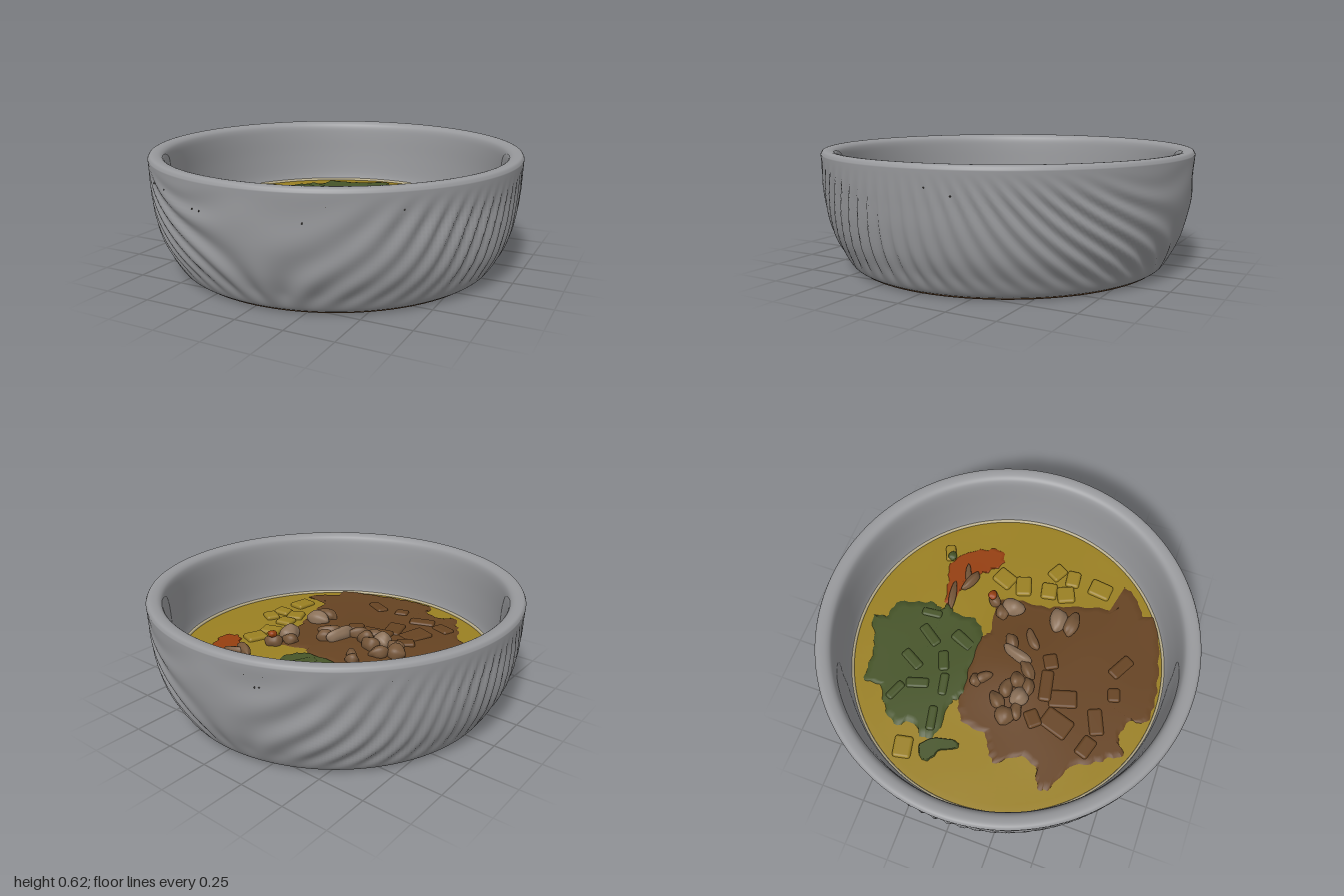
import * as THREE from 'three';
import { mergeVertices } from 'three/addons/utils/BufferGeometryUtils.js';
import { RoundedBoxGeometry } from 'three/addons/geometries/RoundedBoxGeometry.js';

const mat = (name, color) => Object.assign(new THREE.MeshStandardMaterial({ color }), { name });
const M = {
  glaze: mat('grey glaze', 0x98999c),
  cream: mat('cream broth line', 0xb9ae8c),
  yellow: mat('yellow soup', 0x9a8022),
  brown: mat('brown stew', 0x664322),
  green: mat('green herbs', 0x465428),
  orange: mat('orange sauce', 0x963f10),
  chunk: mat('meat', 0x745538),
  pale: mat('pale meat', 0x8a7058),
  base: mat('dark base', 0x523720),
  speck: mat('dark speckle', 0x4a4642),
};

// Height of the food surface, gently mounded under the stew
const foodY = (x, z) => 0.235 + 0.035 * Math.exp(-((x + 0.05) ** 2 + (z - 0.1) ** 2) / 0.12)
  + 0.004 * Math.sin(9 * x + 2) * Math.cos(8 * z) * Math.max(0, 1 - x * x - z * z);

function rng(seed) {
  return () => (seed = (seed * 16807) % 2147483647) / 2147483647;
}

function add(group, name, geometry, material) {
  const mesh = new THREE.Mesh(geometry, material);
  mesh.name = name;
  group.add(mesh);
  return mesh;
}

// Turned wall with diagonal carved flutes on the outside
function bowlGeometry() {
  const outer = new THREE.SplineCurve([[0.81, 0.004], [0.855, 0.022], [0.9, 0.1], [0.945, 0.2],
    [0.973, 0.32], [0.987, 0.45], [0.994, 0.56], [0.996, 0.6]].map(p => new THREE.Vector2(...p))).getPoints(48);
  const inner = new THREE.SplineCurve([[0.996, 0.6], [0.985, 0.618], [0.96, 0.622], [0.93, 0.614], [0.912, 0.59],
    [0.904, 0.53], [0.897, 0.4], [0.885, 0.27], [0.865, 0.21]].map(p => new THREE.Vector2(...p))).getPoints(40);
  let g = new THREE.LatheGeometry([...outer, ...inner.slice(1)], 360);
  const pos = g.attributes.position;
  const rows = outer.length + inner.length - 1;
  for (let i = 0; i < pos.count; i++) {
    if (i % rows >= outer.length) continue;
    const x = pos.getX(i), y = pos.getY(i), z = pos.getZ(i), a = Math.atan2(x, z);
    const slant = 0.3 - 1.2 * Math.cos(2 * (a - 0.82));
    const fade = THREE.MathUtils.smoothstep(y, 0.02, 0.12) * (1 - THREE.MathUtils.smoothstep(y, 0.42, 0.59));
    const depth = 0.011 * (0.75 + 0.25 * Math.sin(5 * a + 6 * y));
    const k = 1 + fade * depth * (Math.sin(48 * a + 46 * y * slant + 1.5 * Math.sin(4 * a + 7 * y)) - 0.3);
    pos.setXYZ(i, x * k, y, z * k);
  }
  g.deleteAttribute('uv');
  g.deleteAttribute('normal');
  g = mergeVertices(g, 1e-5);
  g.computeVertexNormals();
  return g;
}

// Thin layer draped on the food surface, fanned in rings from a centre to its outline
function patchGeometry([cx, cz], outline, lift, rings = 16) {
  const n = outline.length, verts = [], idx = [];
  for (let r = 0; r <= rings; r++) {
    for (const [px, pz] of outline) {
      const t = r / rings, x = cx + (px - cx) * t, z = cz + (pz - cz) * t;
      verts.push(x, foodY(x, z) + (r === rings ? -0.002 : lift), z);
    }
  }
  for (let r = 0; r < rings; r++) for (let i = 0; i < n; i++) {
    const a = r * n + i, b = r * n + (i + 1) % n;
    idx.push(a, b + n, a + n);
    if (r) idx.push(a, b, b + n);
  }
  const g = new THREE.BufferGeometry();
  g.setAttribute('position', new THREE.Float32BufferAttribute(verts, 3));
  g.setIndex(idx);
  g.computeVertexNormals();
  return g;
}

// Smooth closed outline with a slightly ragged edge
function ragged(points, wobble = 0.006) {
  const curve = new THREE.CatmullRomCurve3(points.map(([x, z]) => new THREE.Vector3(x, 0, z)), true, 'centripetal');
  return curve.getPoints(points.length * 6).slice(0, -1)
    .map((p, i) => [p.x + wobble * Math.sin(i * 1.3), p.z + wobble * Math.cos(i * 1.7)]);
}

// Lumpy pebble of unit radius
function lumpGeometry(seed) {
  let g = new THREE.IcosahedronGeometry(1, 5);
  g.deleteAttribute('uv');
  g.deleteAttribute('normal');
  g = mergeVertices(g);
  const p = g.attributes.position;
  for (let i = 0; i < p.count; i++) {
    const x = p.getX(i), y = p.getY(i), z = p.getZ(i);
    const k = 1 + 0.12 * Math.sin(3 * x + seed) + 0.1 * Math.cos(4 * z + 2 * seed) * Math.sin(3 * y + seed);
    p.setXYZ(i, x * k, y * k, z * k);
  }
  g.computeVertexNormals();
  return g;
}

export function createModel() {
  const model = new THREE.Group();
  model.name = 'bowlOfStew';
  const rand = rng(71);

  // Bowl and its underside
  add(model, 'bowl', bowlGeometry(), M.glaze);
  const base = add(model, 'base', new THREE.CylinderGeometry(0.835, 0.825, 0.012, 96), M.base);
  base.position.y = 0.006;
  const spot = add(model, 'baseSpot', new THREE.CylinderGeometry(0.075, 0.075, 0.003, 7), M.yellow);
  spot.position.set(0.38, 0.0005, -0.63);

  // Soup and the broth line around it
  const circle = Array.from({ length: 96 }, (_, i) => [0.89 * Math.cos(i * Math.PI / 48), 0.89 * Math.sin(i * Math.PI / 48)]);
  add(model, 'soup', patchGeometry([0, 0], circle, 0, 30), M.yellow);
  const line = add(model, 'brothLine', new THREE.TorusGeometry(0.878, 0.011, 8, 120), M.cream);
  line.rotation.x = Math.PI / 2;
  line.position.y = 0.236;

  // Stew, herbs and sauce
  add(model, 'stew', patchGeometry([-0.02, 0.35], ragged([[-0.36, -0.17], [-0.15, -0.19], [0.05, -0.19], [0.1, -0.15],
    [0.3, -0.17], [0.35, -0.05], [0.36, 0.1], [0.4, 0.2], [0.45, 0.35], [0.5, 0.5], [0.64, 0.5], [0.6, 0.58], [0.5, 0.66],
    [0.52, 0.72], [0.35, 0.79], [0.15, 0.84], [0, 0.86], [-0.11, 0.84], [-0.13, 0.76], [-0.25, 0.73], [-0.33, 0.78],
    [-0.36, 0.72], [-0.42, 0.64], [-0.48, 0.53], [-0.64, 0.45], [-0.65, 0.4], [-0.55, 0.35], [-0.52, 0.25], [-0.6, 0.13],
    [-0.55, 0.08], [-0.47, 0.03], [-0.45, -0.1]]), 0.008, 24), M.brown);
  add(model, 'herbs', patchGeometry([-0.2, -0.45], ragged([[-0.36, -0.2], [-0.57, -0.22], [-0.6, -0.28], [-0.54, -0.36],
    [-0.58, -0.45], [-0.5, -0.55], [-0.4, -0.62], [-0.4, -0.71], [-0.25, -0.73], [-0.15, -0.76], [-0.02, -0.82],
    [0, -0.75], [0.1, -0.72], [0.14, -0.62], [0.17, -0.52], [0.15, -0.46], [0.2, -0.43], [0.15, -0.38], [0.15, -0.25],
    [0.08, -0.18], [-0.15, -0.17], [-0.3, -0.15]]), 0.012), M.green);
  add(model, 'sauce', patchGeometry([0.45, -0.4], ragged([[0.32, -0.49], [0.43, -0.52], [0.54, -0.45], [0.6, -0.35],
    [0.62, -0.26], [0.55, -0.22], [0.47, -0.28], [0.42, -0.34], [0.3, -0.4], [0.18, -0.42], [0.18, -0.45]]), 0.007), M.orange);
  add(model, 'leaf', patchGeometry([-0.63, -0.21], ragged([[-0.71, -0.24], [-0.64, -0.28], [-0.57, -0.2], [-0.56, -0.08],
    [-0.59, -0.08], [-0.63, -0.16], [-0.7, -0.2]], 0.003), 0.015), M.green);

  // Diced pieces half sunk in the food: x, z, width, depth, turn
  const dice = (name, material, list) => list.forEach(([x, z, w, d, turn]) => {
    const mesh = add(model, name, new RoundedBoxGeometry(w, 0.04, d, 3, 0.016), material);
    mesh.position.set(x, foodY(x, z) + 0.002, z);
    mesh.rotation.set(0.08 * (rand() - 0.5), turn, 0.08 * (rand() - 0.5));
  });
  dice('yellowDice', M.yellow, [[0.44, -0.06, 0.12, 0.09, 0.3], [0.45, -0.18, 0.12, 0.1, 1.2], [0.46, 0.09, 0.1, 0.09, 0.2],
    [0.59, 0.1, 0.1, 0.08, -0.5], [0.47, 0.19, 0.1, 0.1, 0.4], [0.58, 0.2, 0.1, 0.08, 0.1], [0.57, 0.37, 0.1, 0.13, -0.1],
    [-0.68, -0.36, 0.12, 0.1, 0.2], [0.5, -0.54, 0.1, 0.06, 0.4]]);
  dice('stewDice', M.brown, [[-0.28, 0.38, 0.12, 0.17, -0.3], [-0.14, 0.37, 0.1, 0.16, 0.3], [-0.3, 0.25, 0.1, 0.08, 0.7],
    [-0.1, 0.26, 0.18, 0.07, 0.2], [0.04, 0.24, 0.09, 0.08, 0.5], [-0.2, 0.58, 0.15, 0.08, 0.4], [0.15, 0.62, 0.15, 0.07, -0.5],
    [-0.35, 0.57, 0.12, 0.08, -0.3], [-0.02, 0.63, 0.08, 0.07, 0.3]]);
  dice('herbDice', M.green, [[-0.48, -0.27, 0.14, 0.05, 0.2], [-0.2, -0.5, 0.06, 0.14, -0.5], [-0.32, -0.42, 0.06, 0.13, 0.3],
    [-0.03, -0.46, 0.06, 0.15, -0.6], [-0.15, -0.33, 0.12, 0.06, 0.4], [0.0, -0.27, 0.07, 0.14, -0.4],
    [-0.28, -0.28, 0.13, 0.05, 0.2], [0.1, -0.5, 0.05, 0.12, 0.1], [-0.4, -0.52, 0.12, 0.05, -0.4]]);

  // Meat lumps: x, z, half length, half width, half height, turn, pale
  const lumps = [1, 2.6, 4.1].map(lumpGeometry);
  [[-0.34, 0.1, 0.06, 0.05, 0.045, 0.3], [-0.27, 0.03, 0.06, 0.035, 0.04, 0.9], [-0.19, 0.06, 0.05, 0.04, 0.05, 0],
    [-0.22, 0.14, 0.06, 0.045, 0.05, -0.4, 1], [-0.13, 0.1, 0.05, 0.04, 0.05, 0.5], [-0.29, 0.15, 0.05, 0.035, 0.04, 0.2],
    [-0.15, 0.17, 0.06, 0.03, 0.04, 0.3], [-0.05, 0.13, 0.07, 0.03, 0.04, 0.8], [0.01, 0.05, 0.08, 0.035, 0.05, 1.3, 1],
    [0.07, 0.0, 0.06, 0.03, 0.04, 0.6], [-0.2, -0.12, 0.04, 0.03, 0.035, 0.4], [-0.17, -0.08, 0.045, 0.03, 0.035, -0.8],
    [0.28, -0.07, 0.055, 0.06, 0.05, 0, 1], [0.24, -0.12, 0.05, 0.035, 0.035, 0.3], [0.3, -0.19, 0.045, 0.035, 0.04, 0.6],
    [0.29, 0.2, 0.08, 0.045, 0.045, 0.2, 1], [0.3, 0.28, 0.08, 0.04, 0.04, -0.1], [0.13, 0.1, 0.06, 0.03, 0.03, 0.7],
    [0.36, -0.36, 0.08, 0.025, 0.03, -0.4], [0.25, -0.43, 0.09, 0.02, 0.025, 0.2], [0.4, -0.39, 0.06, 0.02, 0.025, 0.4],
  ].forEach(([x, z, l, w, h, turn, pale], i) => {
    const mesh = add(model, 'meatLump', lumps[i % 3], pale ? M.pale : M.chunk);
    mesh.scale.set(l, h, w);
    mesh.rotation.y = turn;
    mesh.position.set(x, foodY(x, z) + h * 0.5, z);
  });
  const bits = [['sauceBit', M.orange, 0.3, -0.2, 0.03, 0.07], ['herbBit', M.green, 0.48, -0.52, 0.03, 0.025]];
  for (const [name, material, x, z, r, lift] of bits) {
    const mesh = add(model, name, lumps[1], material);
    mesh.scale.set(r, r * 0.6, r * 0.8);
    mesh.position.set(x, foodY(x, z) + lift, z);
  }

  // Tiny speckles in the glaze near the rim
  for (let i = 0; i < 24; i++) {
    const a = rand() * Math.PI * 2, y = 0.46 + rand() * 0.12;
    const dot = add(model, 'speckle', new THREE.SphereGeometry(0.004, 6, 4), M.speck);
    dot.position.set(0.989 * Math.sin(a), y, 0.989 * Math.cos(a));
  }
  return model;
}
